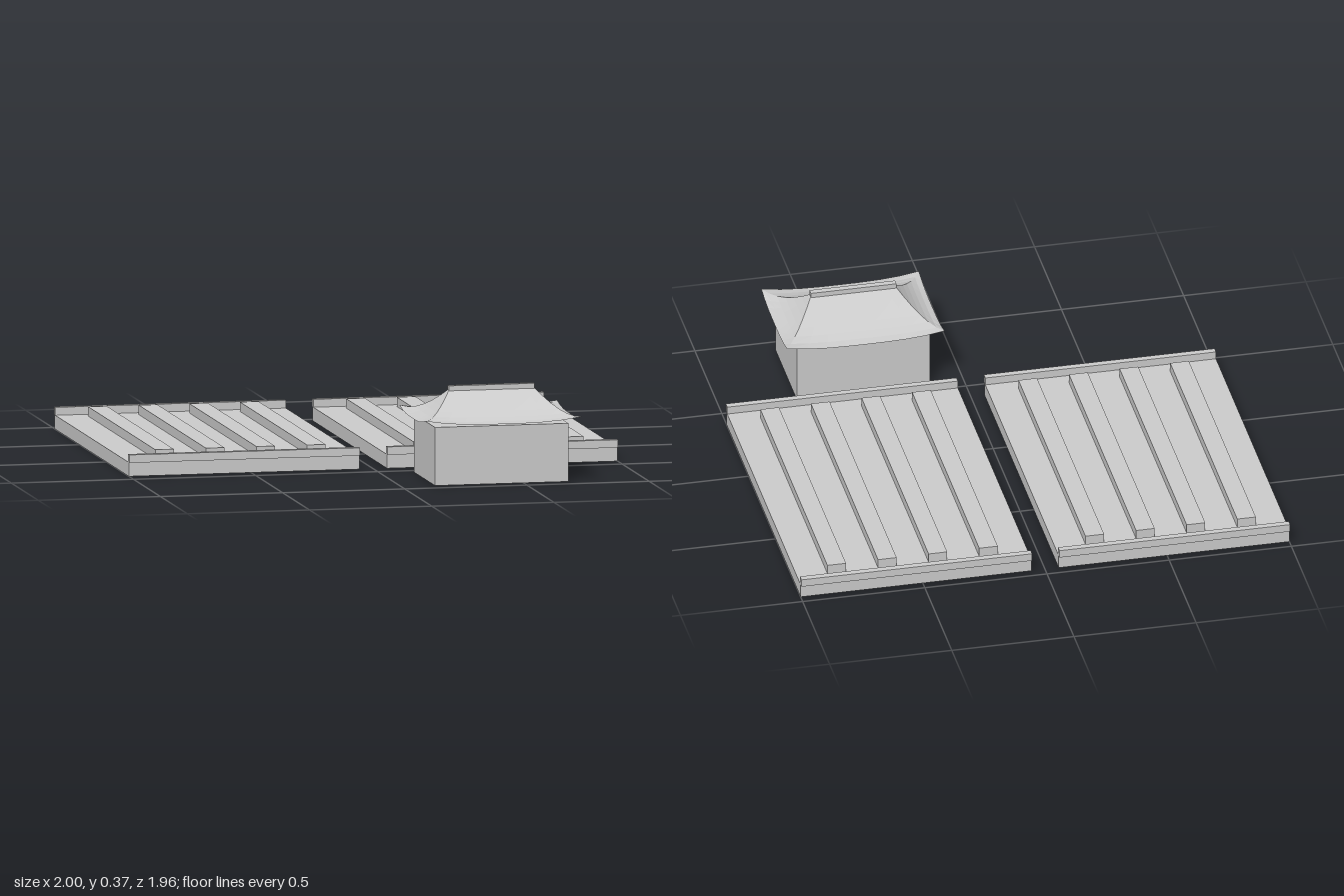
import * as THREE from 'three';

const stone = new THREE.MeshStandardMaterial({ color: 0xcccccc });
stone.name = 'pale grey';
const roofGrey = stone.clone();
roofGrey.name = 'pale grey roof';
roofGrey.side = THREE.DoubleSide;
roofGrey.flatShading = true;

// Box given by its min and max corners
function box(name, [x0, y0, z0], [x1, y1, z1]) {
  const mesh = new THREE.Mesh(new THREE.BoxGeometry(x1 - x0, y1 - y0, z1 - z0), stone);
  mesh.position.set((x0 + x1) / 2, (y0 + y1) / 2, (z0 + z1) / 2);
  mesh.name = name;
  return mesh;
}

// Long low hall: slab, overhanging end rails and four raised strips
function createPlatform(cx) {
  const g = new THREE.Group();
  g.name = cx > 0 ? 'leftPlatform' : 'rightPlatform';
  const w = 0.472;
  g.add(box('slab', [cx - w, 0, -0.963], [cx + w, 0.056, 0.416]));
  g.add(box('backRail', [cx - w, 0.056, -0.978], [cx + w, 0.088, -0.951]));
  g.add(box('frontRail', [cx - w, 0.056, 0.4], [cx + w, 0.088, 0.427]));
  for (let i = 0; i < 4; i++) {
    const x = cx + (i - 1.5) * 0.207;
    g.add(box('strip', [x - 0.038, 0.056, -0.9], [x + 0.038, 0.094, 0.345]));
  }
  return g;
}

// One slope of the hipped roof: concave section, eave lifted at the corners
function createSlope(side) {
  const geo = new THREE.PlaneGeometry(2, 1, 8, 6);
  const p = geo.attributes.position;
  const sign = side < 2 ? 1 : -1;
  for (let i = 0; i < p.count; i++) {
    const u = p.getX(i);
    const t = 0.5 - p.getY(i);
    const hx = 0.175 + 0.1475 * t;
    const hz = 0.01 + 0.229 * t;
    const y = 0.246 + 0.11 * Math.pow(1 - t, 1.6) + 0.021 * t ** 3 * Math.abs(u) ** 3;
    if (side % 2 === 0) p.setXYZ(i, sign * u * hx, y, sign * hz);
    else p.setXYZ(i, sign * hx, y, -sign * u * hz);
  }
  geo.computeVertexNormals();
  const mesh = new THREE.Mesh(geo, roofGrey);
  mesh.name = ['frontSlope', 'leftSlope', 'backSlope', 'rightSlope'][side];
  return mesh;
}

// Small house with curved roof and ridge beam
function createPavilion() {
  const g = new THREE.Group();
  g.name = 'pavilion';
  g.add(box('walls', [-0.273, 0, -0.197], [0.273, 0.235, 0.197]));
  const roof = new THREE.Group();
  roof.name = 'roof';
  for (let side = 0; side < 4; side++) roof.add(createSlope(side));
  roof.add(box('ridge', [-0.175, 0.352, -0.013], [0.175, 0.374, 0.013]));
  g.add(roof);
  g.position.set(0.411, 0, 0.739);
  return g;
}

export function createModel() {
  const model = new THREE.Group();
  model.name = 'courtyard';
  model.add(createPlatform(-0.528), createPlatform(0.528), createPavilion());
  return model;
}
